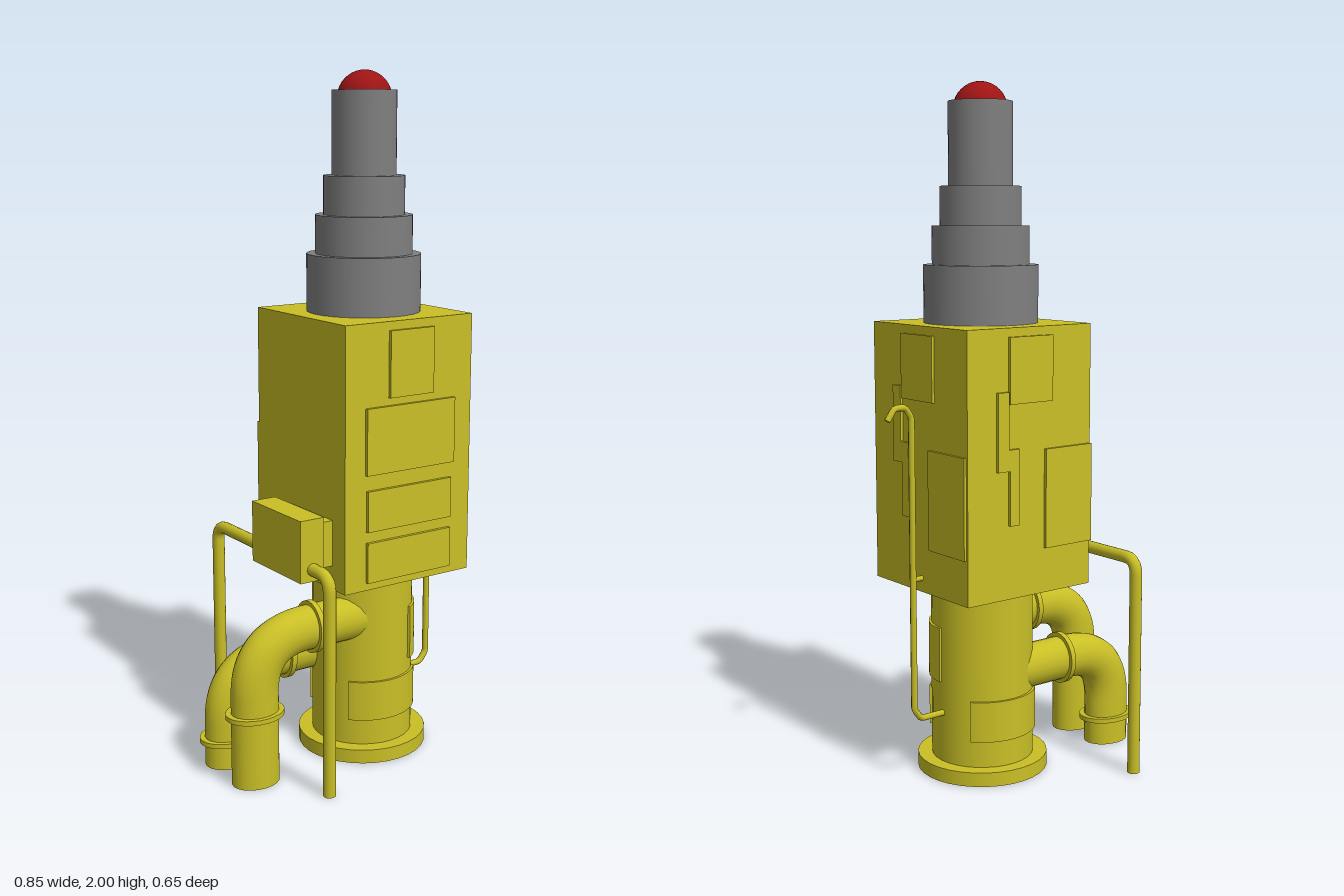
import * as THREE from 'three';

const yellow = new THREE.MeshStandardMaterial({ color: 0xc9bf26 });
const grey = new THREE.MeshStandardMaterial({ color: 0x808080 });
const red = new THREE.MeshStandardMaterial({ color: 0xa01414 });

const AX = 0.088, AZ = 0.036; // column axis
const V = (x, y, z = 0) => new THREE.Vector3(x, y, z);

function add(parent, name, geometry, material = yellow) {
  const mesh = new THREE.Mesh(geometry, material);
  mesh.name = name;
  parent.add(mesh);
  return mesh;
}

// Box given by its minimum and maximum on each axis
function box(parent, name, x0, x1, y0, y1, z0, z1) {
  const g = new THREE.BoxGeometry(x1 - x0, y1 - y0, z1 - z0);
  g.translate((x0 + x1) / 2, (y0 + y1) / 2, (z0 + z1) / 2);
  return add(parent, name, g);
}

// Upright cylinder on the column axis
function drum(parent, name, r, y0, y1, material) {
  const g = new THREE.CylinderGeometry(r, r, y1 - y0, 32);
  g.translate(AX, (y0 + y1) / 2, AZ);
  return add(parent, name, g, material);
}

// Capped tube along a polyline whose corners are rounded by the given length
function pipe(parent, name, points, r, bend, sides = 12, segments = 64) {
  const path = new THREE.CurvePath();
  let from = points[0];
  for (let i = 1; i < points.length - 1; i++) {
    const p = points[i];
    const a = p.clone().add(points[i - 1].clone().sub(p).setLength(bend));
    const b = p.clone().add(points[i + 1].clone().sub(p).setLength(bend));
    path.add(new THREE.LineCurve3(from, a));
    path.add(new THREE.QuadraticBezierCurve3(a, p, b));
    from = b;
  }
  path.add(new THREE.LineCurve3(from, points[points.length - 1]));
  add(parent, name, new THREE.TubeGeometry(path, segments, r, sides));
  for (const t of [0, 1]) {
    const cap = add(parent, name + 'Cap', new THREE.CircleGeometry(r, sides));
    const dir = path.getTangentAt(t).multiplyScalar(t ? 1 : -1);
    cap.quaternion.setFromUnitVectors(V(0, 0, 1), dir);
    cap.position.copy(path.getPointAt(t));
  }
}

// Curved plate on the column, angles in degrees from the front towards +x
function curvedPlate(parent, name, from, to, y0, y1) {
  const a = THREE.MathUtils.degToRad(from - 90), b = THREE.MathUtils.degToRad(to - 90);
  const s = new THREE.Shape();
  s.absarc(0, 0, 0.158, a, b, false);
  s.absarc(0, 0, 0.145, b, a, true);
  const g = new THREE.ExtrudeGeometry(s, { depth: y1 - y0, bevelEnabled: false, curveSegments: 16 });
  g.rotateX(-Math.PI / 2).translate(AX, y0, AZ);
  add(parent, name, g);
}

// Raised panels shared by the back and the left side, centred on the face
function wallPanels() {
  const group = new THREE.Group();
  group.name = 'wallPanels';
  box(group, 'upperPanel', -0.078, 0.074, 1.115, 1.3, -0.01, 0.008);
  box(group, 'lowerPanel', 0.05, 0.22, 0.695, 0.98, -0.01, 0.008);
  const s = new THREE.Shape([
    [-0.12, 1.15], [-0.12, 0.93], [-0.078, 0.93], [-0.078, 0.775],
    [-0.045, 0.775], [-0.045, 0.99], [-0.082, 0.99], [-0.082, 1.15],
  ].map(([x, y]) => new THREE.Vector2(x, y)));
  const g = new THREE.ExtrudeGeometry(s, { depth: 0.018, bevelEnabled: false });
  g.translate(0, 0, -0.01);
  add(group, 'steppedPanel', g);
  return group;
}

export function createModel() {
  const model = new THREE.Group();
  model.name = 'machineColumn';

  // Column and base flange
  drum(model, 'baseFlange', 0.193, 0, 0.042);
  drum(model, 'column', 0.151, 0.03, 0.58);
  curvedPlate(model, 'columnFrontPlate', -50, 50, 0.12, 0.24);
  curvedPlate(model, 'columnBackPlate', 130, 230, 0.12, 0.24);
  curvedPlate(model, 'columnSidePlate', 30, 91, 0.283, 0.445);

  // Main housing with panels
  box(model, 'housing', -0.132, 0.307, 0.565, 1.325, -0.19, 0.262);
  const front = [[0.014, 0.165, 1.112, 1.3], [-0.064, 0.243, 0.9, 1.09],
    [-0.06, 0.233, 0.737, 0.855], [-0.06, 0.233, 0.588, 0.705]];
  for (const [x0, x1, y0, y1] of front) box(model, 'frontPanel', x0, x1, y0, y1, 0.25, 0.272);
  const back = wallPanels();
  back.rotation.y = Math.PI;
  back.position.set(AX, 0, -0.191);
  const side = wallPanels();
  side.rotation.y = Math.PI / 2;
  side.position.set(0.307, 0, AZ);
  model.add(back, side);

  // Telescoping tiers and dome
  const tiers = [[0.165, 1.32, 1.49], [0.14, 1.48, 1.6], [0.117, 1.59, 1.71], [0.092, 1.7, 1.945]];
  for (const [r, y0, y1] of tiers) drum(model, 'telescopeTier', r, y0, y1, grey);
  const dome = add(model, 'dome', new THREE.SphereGeometry(0.078, 32, 20), red);
  dome.position.set(AX, 1.922, AZ);

  // Junction box on the right side with two slim legs
  box(model, 'junctionBox', -0.253, -0.175, 0.61, 0.79, -0.034, 0.222);
  box(model, 'junctionMount', -0.18, -0.125, 0.635, 0.768, -0.01, 0.2);
  for (const [z, inner] of [[0.305, 0.2], [-0.305, -0.02]]) {
    pipe(model, 'slimPipe', [V(-0.213, 0, z), V(-0.213, 0.645, z), V(-0.213, 0.645, inner)], 0.0185, 0.045);
  }

  // Two thick elbow pipes with collars
  for (const [z, y] of [[-0.044, 0.3], [0.11, 0.43]]) {
    const elbow = new THREE.Group();
    elbow.name = 'elbowPipe';
    elbow.position.z = z;
    elbow.scale.set(1.1, 1, 0.88);
    const x = -0.338 / 1.1;
    pipe(elbow, 'elbow', [V(0.05, y), V(x, y), V(x, 0)], 0.066, 0.16, 20);
    const lower = add(elbow, 'lowerCollar', new THREE.CylinderGeometry(0.081, 0.081, 0.014, 24));
    lower.position.set(x, y - 0.22, 0);
    const upper = add(elbow, 'upperCollar', new THREE.CylinderGeometry(0.078, 0.078, 0.015, 24));
    upper.rotation.z = Math.PI / 2;
    upper.position.set(-0.146 / 1.1, y, 0);
    model.add(elbow);
  }

  // Thin hooked rail on the left side with a strut to the housing
  const rz = 0.03;
  pipe(model, 'hookedRail', [V(0.2, 0.19, rz), V(0.315, 0.19, rz), V(0.338, 0.22, rz), V(0.338, 1.07, rz),
    V(0.358, 1.1, rz), V(0.395, 1.1, rz), V(0.418, 1.066, rz)], 0.0095, 0.01, 8, 140);
  pipe(model, 'railStrut', [V(0.29, 0.605, rz), V(0.338, 0.605, rz)], 0.008, 0.01, 8, 1);

  return model;
}
